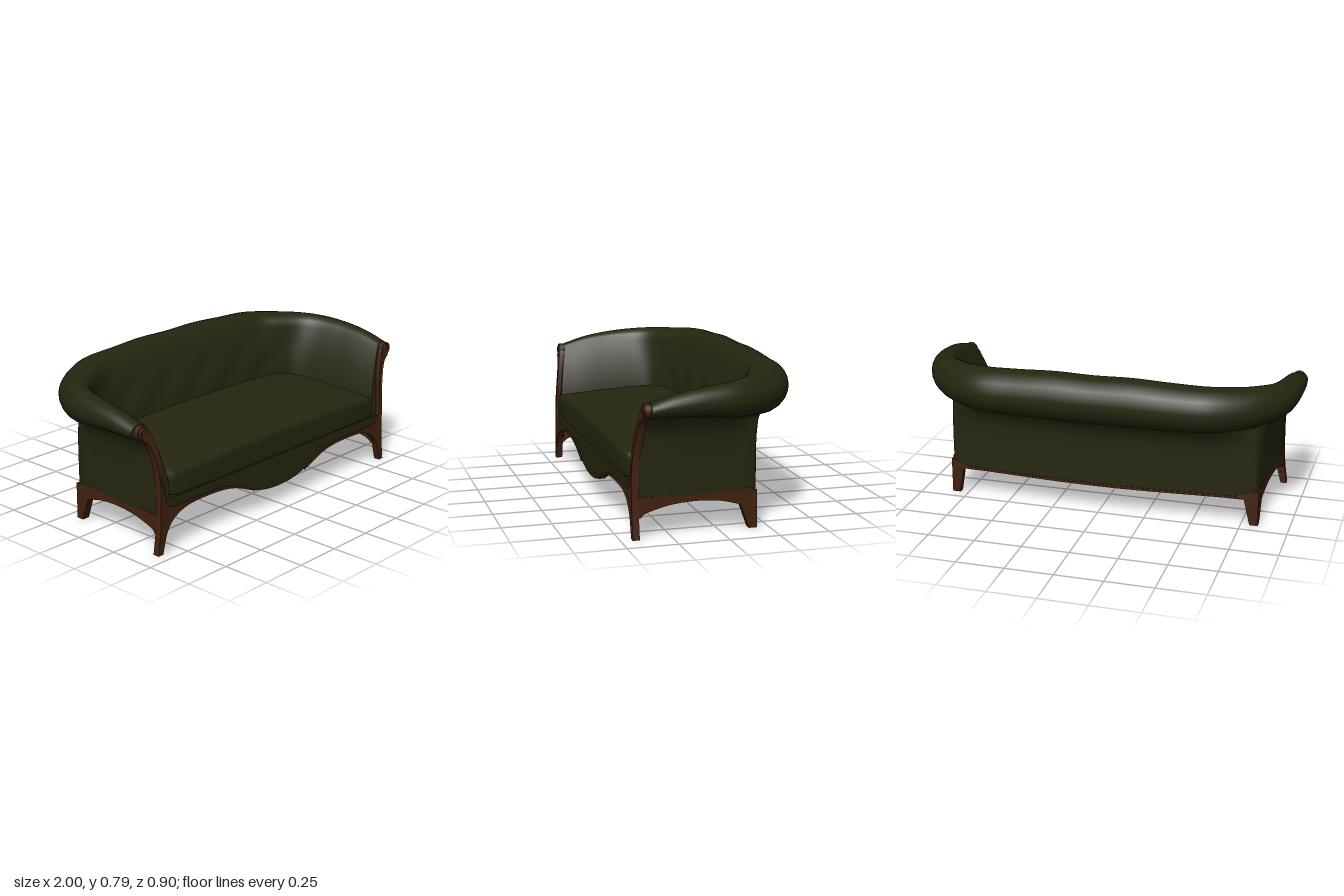
import * as THREE from 'three';
import { toCreasedNormals } from 'three/addons/utils/BufferGeometryUtils.js';

const fabric = new THREE.MeshStandardMaterial({ color: 0x25260f, side: THREE.DoubleSide });
fabric.name = 'olive upholstery';
const wood = new THREE.MeshStandardMaterial({ color: 0x42220f, side: THREE.DoubleSide });
wood.name = 'brown wood';

const V = (x, y, z) => new THREE.Vector3(x, y, z);

// smooth surface through rows of points
function loft(rows) {
  const n = rows[0].length, pos = [], idx = [];
  rows.forEach(r => r.forEach(p => pos.push(p.x, p.y, p.z)));
  for (let i = 0; i < rows.length - 1; i++) {
    for (let j = 0; j < n - 1; j++) {
      const a = i * n + j, b = a + n;
      idx.push(a, b, b + 1, a, b + 1, a + 1);
    }
  }
  const g = new THREE.BufferGeometry();
  g.setAttribute('position', new THREE.Float32BufferAttribute(pos, 3));
  g.setIndex(idx);
  g.computeVertexNormals();
  return g;
}

// extruded outline whose vertices are then moved by a rule
function panel(points, depth, move) {
  const shape = new THREE.Shape(points.map(p => new THREE.Vector2(p[0], p[1])));
  const g = new THREE.ExtrudeGeometry(shape, { depth, bevelEnabled: false });
  const pos = g.attributes.position, v = V(0, 0, 0);
  for (let i = 0; i < pos.count; i++) {
    move(v.fromBufferAttribute(pos, i));
    pos.setXYZ(i, v.x, v.y, v.z);
  }
  g.computeVertexNormals();
  return toCreasedNormals(g, 0.6);
}

const smooth = (pts, n) => new THREE.SplineCurve(pts.map(p => new THREE.Vector2(p[0], p[1])))
  .getPoints(n).map(p => [p.x, p.y]);

// the arm fronts lean back as they rise
const lean = y => 0.04 * Math.pow(Math.max(0, (y - 0.3) / 0.34), 1.5);

// stations: inner foot x z, outer foot x z, roll edge x z, roll bottom, roll top, roll radius, wall base
const stations = [
  [0.79, 0.425, 0.862, 0.425, 0.985, 0.41, 0.59, 0.662, 0.05, 0.19],
  [0.78, 0.28, 0.862, 0.28, 0.997, 0.26, 0.59, 0.70, 0.058, 0.19],
  [0.775, 0.1, 0.853, 0.1, 1.0, 0.1, 0.585, 0.725, 0.068, 0.19],
  [0.765, -0.04, 0.843, -0.05, 0.982, -0.06, 0.565, 0.74, 0.08, 0.19],
  [0.74, -0.11, 0.834, -0.15, 0.915, -0.205, 0.555, 0.75, 0.095, 0.18],
  [0.68, -0.14, 0.80, -0.195, 0.80, -0.33, 0.545, 0.757, 0.11, 0.15],
  [0.58, -0.15, 0.62, -0.212, 0.61, -0.43, 0.54, 0.77, 0.118, 0.15],
  [0.4, -0.15, 0.4, -0.224, 0.4, -0.448, 0.537, 0.777, 0.12, 0.148],
  [0.2, -0.15, 0.2, -0.232, 0.2, -0.454, 0.535, 0.786, 0.12, 0.146],
  [0, -0.15, 0, -0.234, 0, -0.455, 0.535, 0.782, 0.12, 0.145],
];
const all = stations.concat(stations.slice(0, -1).reverse()
  .map(s => s.map((v, k) => (k === 0 || k === 2 || k === 4 ? -v : v))));
const curve = f => new THREE.CatmullRomCurve3(all.map(f), false, 'catmullrom', 0.5);
const innerFoot = curve(s => V(s[0], s[9], s[1]));
const outerFoot = curve(s => V(s[2], s[9], s[3]));
const rollEdge = curve(s => V(s[4], 0, s[5]));
const rollSize = curve(s => V(s[6], s[7], s[8]));

// one section: outer wall, flare, roll, inner wall
function section(t) {
  const I = innerFoot.getPoint(t), O = outerFoot.getPoint(t), R = rollEdge.getPoint(t);
  const { x: yb, y: yt, z: r } = rollSize.getPoint(t);
  const base = O.y, row = [];
  I.y = O.y = 0;
  const n = R.clone().sub(I).normalize(), C = R.clone().addScaledVector(n, -r);
  const add = (p, y) => row.push(V(p.x, y, p.z));
  for (const [f, y] of [[0, base], [0, 0.3], [0.03, yb - 0.13], [0.14, yb - 0.08], [0.45, yb - 0.025]])
    add(O.clone().lerp(C, f), y);
  const onRoll = a => [C.clone().addScaledVector(n, r * Math.cos(a)),
    (yb + yt) / 2 + (yt - yb) / 2 * Math.sin(a)];
  const end = 2.35;
  for (let k = 0; k <= 14; k++) add(...onRoll(-1.65 + (end + 1.65) * k / 14));
  const [E, ye] = onRoll(end);
  for (let k = 1; k <= 12; k++) {
    const v = 1 - k / 12, y = 0.25 + (ye - 0.25) * v;
    const p = I.clone().lerp(E, v * v);
    // soft tufting on the backrest
    const tuft = 0.006 * Math.max(0, -n.z) * Math.sin(Math.PI * v) * Math.cos(p.x * 22) * Math.cos(y * 26);
    add(p.addScaledVector(n, tuft), y);
  }
  row.forEach(p => { p.z -= lean(p.y) * Math.pow(Math.max(0, p.z / 0.425), 2); });
  return row;
}

export function createModel() {
  const model = new THREE.Group();
  const add = (name, geo, mat) => {
    const m = new THREE.Mesh(geo, mat);
    m.name = name;
    model.add(m);
    return m;
  };

  // rolled arms and back in one sweep
  const rows = [];
  for (let i = 0; i <= 90; i++) rows.push(section(i / 90));
  add('rolledBackAndArms', loft(rows), fabric);

  // flat arm fronts
  for (const [side, row] of [['left', rows[0]], ['right', rows[90]]]) {
    const g = new THREE.BufferGeometry().setFromPoints(row);
    const tris = THREE.ShapeUtils.triangulateShape(row.map(p => new THREE.Vector2(p.x, p.y)), []);
    const a = tris[0].map(k => row[k]);
    const up = (a[1].x - a[0].x) * (a[2].y - a[0].y) - (a[1].y - a[0].y) * (a[2].x - a[0].x) > 0;
    g.setIndex(tris.flatMap(t => (up ? t : [t[0], t[2], t[1]])));
    g.computeVertexNormals();
    add(side + 'ArmFront', g, fabric);
  }

  // crowned seat cushion
  const half = [[0, -0.14], [0.25, -0.14], [0.5, -0.14], [0.64, -0.13], [0.71, -0.09], [0.75, -0.01],
    [0.767, 0.12], [0.777, 0.28], [0.785, 0.42], [0.772, 0.445], [0.5, 0.45], [0.25, 0.45], [0, 0.45]];
  const outline = half.concat(half.slice(0, -1).reverse().map(([x, z]) => [-x, z]));
  const topAt = (x, z) => 0.392 + 0.045 * (0.45 - z) / 0.59 + 0.022 * (1 - (x / 0.785) ** 2);
  const rings = [[0.97, 0.275], [0.995, 0.28], [1, 0.29], [1, -0.03], [0.99, -0.01], [0.96, 0],
    [0.8, 0.003], [0.6, 0.005], [0.4, 0.006], [0.2, 0.006], [0, 0.006]];
  add('seatCushion', loft(rings.map(([s, h]) => outline.map(([px, pz]) => {
    const x = px * s, z = 0.155 + (pz - 0.155) * s;
    return V(x, h > 0.2 ? h : topAt(x, z) + h, z);
  }))), fabric);

  // seat deck with a wooden underside
  const deck = [[0.82, 0.41], [0.81, 0], [0.79, -0.13], [0.74, -0.18], [0.3, -0.2]];
  const deckAll = deck.concat(deck.slice().reverse().map(([x, z]) => [-x, z]));
  add('seatDeck', panel(deckAll, 0.055, p => p.set(p.x, 0.265 - p.z, p.y)), fabric);
  add('underside', panel(deckAll, 0.006, p => p.set(p.x, 0.21 - p.z, p.y)), wood);

  // scalloped front apron
  const scallop = smooth([[0.83, 0.16], [0.78, 0.185], [0.7, 0.207], [0.6, 0.216], [0.45, 0.212],
    [0.33, 0.188], [0.2, 0.134], [0.1, 0.108], [0, 0.1]], 32);
  const apron = scallop.concat(scallop.slice(0, -1).reverse().map(([x, y]) => [-x, y]));
  add('frontApron', panel([[0.84, 0.272], ...apron, [-0.84, 0.272]], 0.03,
    p => { p.z += 0.407; }), fabric);

  // wooden post, front leg and tapering trim, as one frame on each side
  const frame = [
    ...smooth([[0.89, 0], [0.876, 0.1], [0.869, 0.2], [0.868, 0.38], [0.884, 0.49], [0.908, 0.56], [0.945, 0.592]], 24),
    [0.945, 0.655], [0.915, 0.65],
    ...smooth([[0.89, 0.61], [0.862, 0.53], [0.842, 0.42], [0.838, 0.3], [0.82, 0.245], [0.77, 0.226],
      [0.6, 0.224], [0.45, 0.22], [0.33, 0.196], [0.2, 0.138]], 36),
    ...smooth([[0.2, 0.13], [0.33, 0.184], [0.45, 0.207], [0.6, 0.21], [0.7, 0.2], [0.78, 0.165],
      [0.825, 0.11], [0.845, 0.05], [0.858, 0]], 28),
  ];
  // side rail with the back leg, in z and y
  const rail = [
    [0.42, 0.2], [0.42, 0.1],
    ...smooth([[0.4, 0.1], [0.37, 0.123], [0.25, 0.152], [0.12, 0.16], [0, 0.15], [-0.105, 0.122]], 20),
    [-0.15, 0], [-0.19, 0], [-0.18, 0.15], [-0.168, 0.2],
  ];
  for (const [side, s] of [['left', 1], ['right', -1]]) {
    const flip = pts => pts.map(([x, y]) => [x * s, y]);
    add(side + 'FrontFrame', panel(flip(frame), 0.034,
      p => { p.z += 0.41 - lean(p.y); }), wood);
    add(side + 'SideRail', panel(rail, 0.04,
      p => p.set(s * (0.807 + 0.055 * p.x) + p.z * s, p.y, p.x)), wood);

    const scroll = add(side + 'Scroll', new THREE.CylinderGeometry(0.036, 0.036, 0.03, 24), wood);
    scroll.rotation.x = Math.PI / 2;
    scroll.position.set(s * 0.936, 0.625, 0.388);
    const eye = add(side + 'ScrollRing', new THREE.TorusGeometry(0.022, 0.006, 8, 24), wood);
    eye.position.set(s * 0.936, 0.625, 0.403);

    // second face of the back leg, turned along the back
    const foot = [[0.838, 0], [0.838, 0.19], [0.72, 0.165], [0.765, 0.145], [0.795, 0]];
    add(side + 'BackLeg', panel(flip(foot), 0.035,
      p => { p.z += -0.19 - 0.02 * Math.min(1, Math.max(0, (0.83 - Math.abs(p.x)) / 0.08)) * Math.min(1, p.y / 0.14); }), wood);
  }

  // slim wooden strip along the foot of the back
  const strip = [];
  for (let i = 0; i <= 40; i++) {
    const p = outerFoot.getPoint((5 + 8 * i / 40) / 18);
    strip.push([[0.01, 0], [-0.003, 0], [-0.003, 0.014], [0.01, 0.014]]
      .map(([dz, dy]) => V(p.x, p.y - 0.002 + dy, p.z + dz)));
  }
  add('backStrip', toCreasedNormals(loft(strip), 0.6), wood);

  return model;
}
